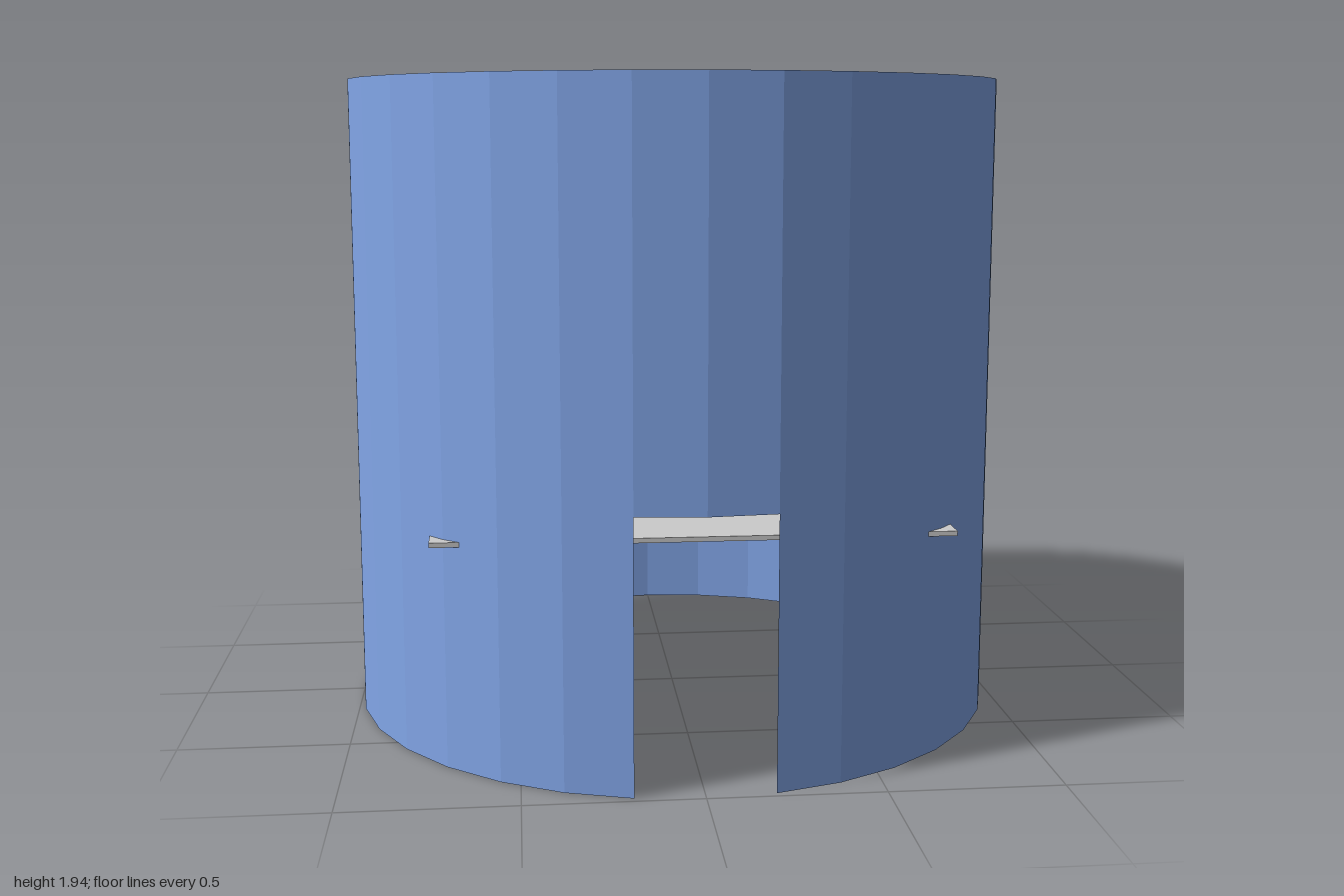
import * as THREE from 'three';

const HEIGHT = 1.94, DOOR_HEIGHT = 0.78, SIDES = 32;
const RISE = 0.0437, PITCH = 0.122, TREAD = 0.15, WIDTH = 0.24;

export function createModel() {
  const model = new THREE.Group();
  const blue = new THREE.MeshStandardMaterial({ color: 0x82a6e8, flatShading: true, side: THREE.DoubleSide });
  const grey = new THREE.MeshStandardMaterial({ color: 0xcccccc, flatShading: true });

  const add = (name, geometry, material, parent = model) => {
    const mesh = new THREE.Mesh(geometry, material);
    mesh.name = name;
    parent.add(mesh);
    return mesh;
  };

  // Thin round wall: a full ring above, and a ring with a two-facet doorway below
  const upperHeight = HEIGHT - DOOR_HEIGHT;
  add('upperWall', new THREE.CylinderGeometry(1, 1, upperHeight, SIDES, 1, true), blue)
    .position.y = DOOR_HEIGHT + upperHeight / 2;
  const facet = (Math.PI * 2) / SIDES;
  add('lowerWall', new THREE.CylinderGeometry(1, 1, DOOR_HEIGHT, SIDES - 2, 1, true,
    facet, Math.PI * 2 - 2 * facet), blue).position.y = DOOR_HEIGHT / 2;

  // Flat roof
  const roof = add('roof', new THREE.CircleGeometry(1, SIDES), blue);
  roof.rotation.x = -Math.PI / 2;
  roof.position.y = HEIGHT;

  // Square upper floor whose corners poke through the wall
  add('upperFloor', new THREE.BoxGeometry(1.49, 0.014, 1.49), grey).position.y = 0.657;

  // Stairs: up along the right wall, a turned corner step, then along the back
  const stairs = new THREE.Group();
  stairs.name = 'stairs';
  model.add(stairs);
  const treadGeometry = new THREE.BoxGeometry(WIDTH, RISE, TREAD);
  const addStep = (number, x, z, turn) => {
    const step = add('step' + number, treadGeometry, grey, stairs);
    step.position.set(x, (number - 0.5) * RISE, z);
    step.rotation.y = turn;
  };
  for (let i = 1; i <= 7; i++) addStep(i, -0.635, 0.345 - (i - 1) * PITCH, 0);
  addStep(8, -0.585, -0.49, -Math.PI / 4);
  const tilt = THREE.MathUtils.degToRad(5);
  for (let i = 9; i <= 14; i++) {
    const run = (i - 9) * 0.124;
    addStep(i, -0.36 + run, -0.515 + run * Math.tan(tilt), -Math.PI / 2 - tilt);
  }
  return model;
}
